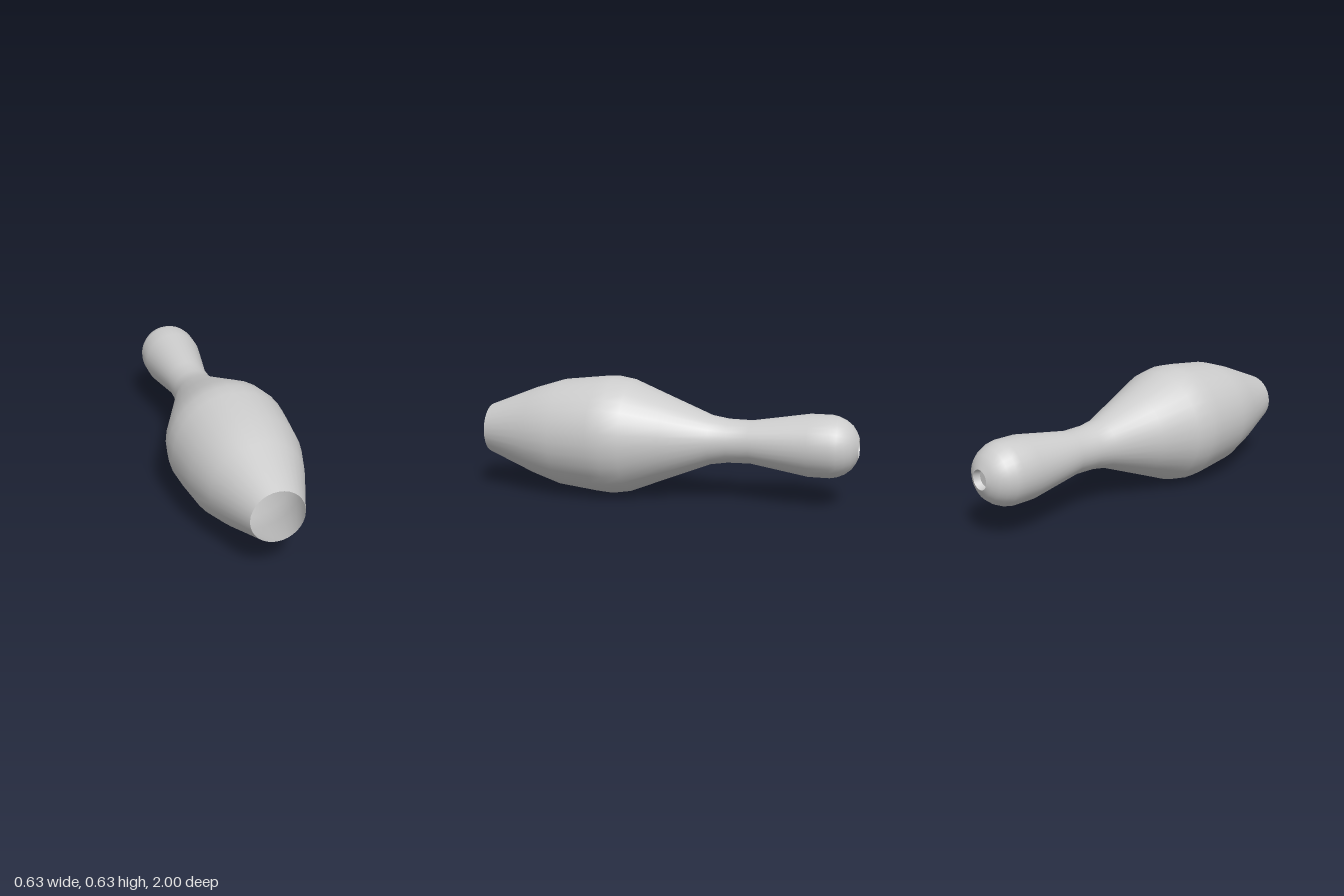
import * as THREE from 'three';

const SIDES = 32;
const AXIS_HEIGHT = 0.317;

export function createModel() {
  const group = new THREE.Group();
  group.name = 'bowlingPin';
  const material = new THREE.MeshStandardMaterial({ color: 0xcccccc, side: THREE.DoubleSide });

  // Turns a [radius, z] profile around the horizontal axis of the pin
  function addTurned(name, profile) {
    const points = profile.map(([r, z]) => new THREE.Vector2(r, z));
    const geometry = new THREE.LatheGeometry(points, SIDES);
    geometry.rotateX(Math.PI / 2);
    const mesh = new THREE.Mesh(geometry, material);
    mesh.name = name;
    mesh.position.y = AXIS_HEIGHT;
    group.add(mesh);
  }

  // Hollow shell: rounded head, neck, belly and open base
  addTurned('pinShell', [
    [0.05, -1], [0.08, -0.987], [0.112, -0.966], [0.138, -0.933], [0.155, -0.895],
    [0.162, -0.86], [0.162, -0.75], [0.113, -0.45], [0.115, -0.33], [0.129, -0.24],
    [0.224, 0], [0.3, 0.19], [0.316, 0.286], [0.311, 0.36], [0.287, 0.575],
    [0.237, 0.735], [0.133, 1],
  ]);

  // Small recess in the tip of the head
  addTurned('tipRecessWall', [[0.043, -0.965], [0.05, -1]]);
  addTurned('tipRecessFloor', [[0, -0.965], [0.043, -0.965]]);

  return group;
}
